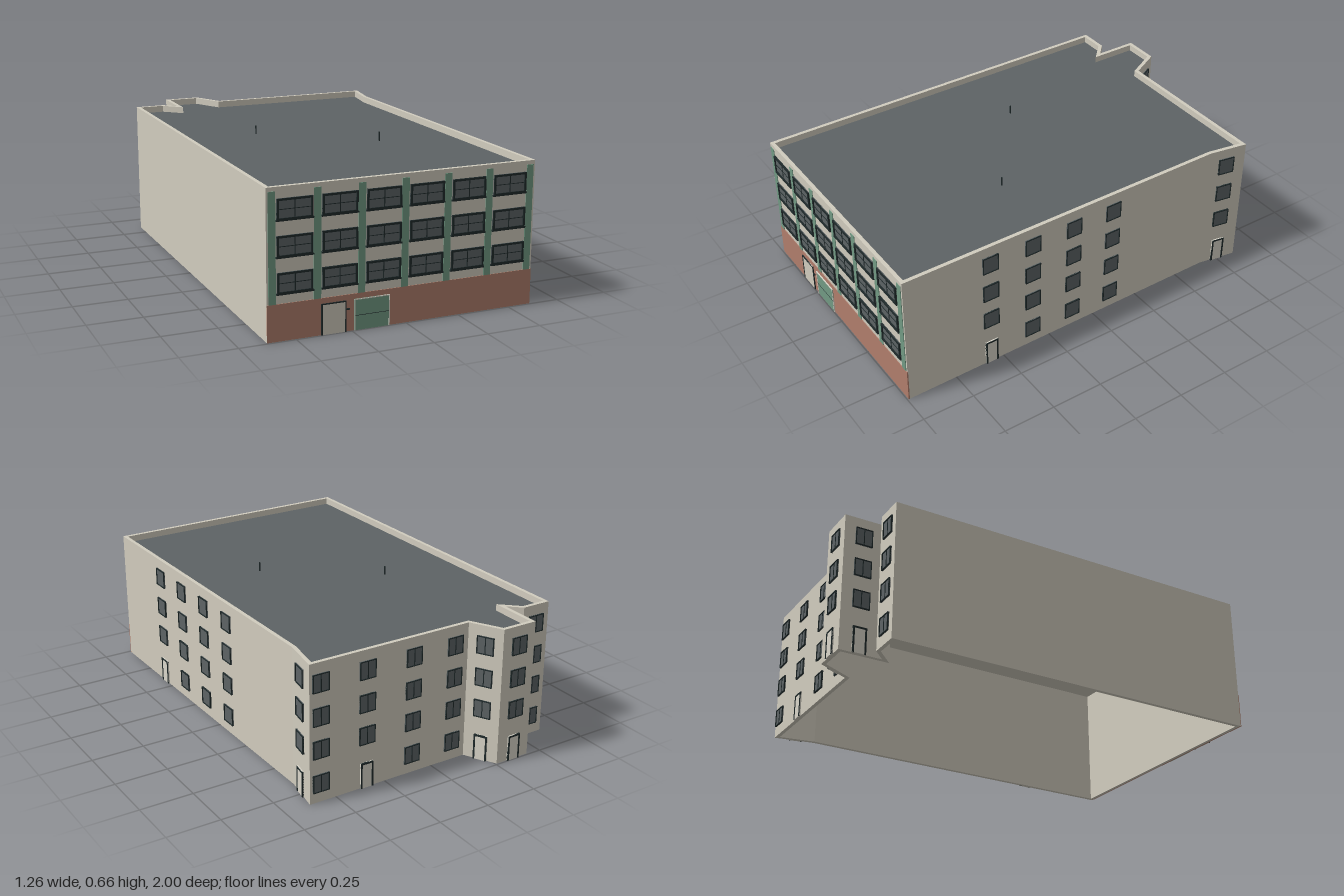
import * as THREE from 'three';

const mat = (name, color) => {
  const m = new THREE.MeshStandardMaterial({ color });
  m.name = name;
  return m;
};

export function createModel() {
  const plaster = mat('plaster', 0xd1ccbe);
  const brick = mat('brick', 0xb07e6c);
  const green = mat('green paint', 0x729a84);
  const slate = mat('slate', 0x5d6365);
  const dark = mat('dark frame', 0x1f2a2b);
  const trim = mat('light trim', 0xdad6ca);

  const model = new THREE.Group();
  model.name = 'building';
  const H = 0.648, ROOF = 0.617, T = 0.018;

  const box = (parent, name, m, w, h, d, x, y, z) => {
    const b = new THREE.Mesh(new THREE.BoxGeometry(w, h, d), m);
    b.name = name;
    b.position.set(x, y, z);
    parent.add(b);
  };

  // Footprint as (x, z), running from the front left corner round the right side
  const plan = [
    [-0.626, 0.991], [0.611, 0.991], [0.597, -0.66], [0.629, -0.847], [-0.18, -0.847],
    [-0.257, -0.992], [-0.43, -0.992], [-0.43, -0.79], [-0.49, -0.847], [-0.632, -0.847],
  ].map(p => new THREE.Vector2(...p));
  const N = plan.length;
  const normal = i => {
    const d = plan[(i + 1) % N].clone().sub(plan[i % N]).normalize();
    return new THREE.Vector2(-d.y, d.x);
  };
  const inner = plan.map((p, i) => {
    const a = normal(i + N - 1), b = normal(i);
    return p.clone().addScaledVector(a.clone().add(b), -T / (1 + a.dot(b)));
  });

  // Prism from a plan shape, between two heights
  const slab = (name, m, shape, y0, y1) => {
    const g = new THREE.ExtrudeGeometry(shape, { depth: y1 - y0, bevelEnabled: false });
    g.rotateX(Math.PI / 2).translate(0, y1, 0);
    const s = new THREE.Mesh(g, m);
    s.name = name;
    model.add(s);
  };

  // Hollow walls with a parapet (the hole winds opposite to the outline), roof deck and ceiling
  const ring = new THREE.Shape([...plan].reverse());
  ring.holes.push(new THREE.Path(inner));
  slab('walls', plaster, ring, 0, H);
  slab('roofDeck', slate, new THREE.Shape(inner), ROOF - 0.006, ROOF);
  slab('ceiling', plaster, new THREE.Shape(inner), ROOF - 0.012, ROOF - 0.006);

  // Roof vents
  for (const [x, z] of [[-0.25, -0.11], [0.229, 0.255]]) {
    const v = new THREE.Mesh(new THREE.CylinderGeometry(0.0035, 0.0035, 0.043, 8), dark);
    v.name = 'roofVent';
    v.position.set(x, ROOF + 0.021, z);
    model.add(v);
  }

  // Group lying on wall i where the chosen coordinate has the given value
  const onWall = (name, i, axis, value, y) => {
    const a = plan[i], b = plan[(i + 1) % N], n = normal(i);
    const p = a.clone().lerp(b, (value - a[axis]) / (b[axis] - a[axis]));
    const g = new THREE.Group();
    g.name = name;
    g.position.set(p.x, y, p.y);
    g.rotation.y = Math.atan2(n.x, n.y);
    model.add(g);
    return g;
  };

  // Framed window centred on its group
  const fillWindow = (g, w, h, f, depth, cross, mullion) => {
    box(g, 'glass', slate, w, h, 0.004, 0, 0, 0.002);
    for (const s of [-1, 1]) {
      box(g, 'frameSide', dark, f, h, depth, s * (w - f) / 2, 0, depth / 2);
      box(g, 'frameRail', dark, w, f, depth, 0, s * (h - f) / 2, depth / 2);
    }
    if (mullion) box(g, 'mullion', dark, 0.004, h, 0.006, 0, 0, 0.003);
    if (cross) {
      box(g, 'crossbar', dark, w, 0.003, 0.006, 0, 0, 0.003);
      box(g, 'sill', dark, w + 0.006, 0.007, depth, 0, -h / 2, depth / 2);
    }
  };

  // Framed door standing on its group's origin
  const fillDoor = (g, w, h, panel, frame, f) => {
    box(g, 'doorPanel', panel, w, h, 0.006, 0, h / 2, 0.003);
    for (const s of [-1, 1]) box(g, 'doorJamb', frame, f, h, 0.008, s * (w - f) / 2, h / 2, 0.004);
    box(g, 'doorHead', frame, w, f, 0.008, 0, h - f / 2, 0.004);
  };

  // Front: brick base, pilasters and wide windows
  box(model, 'brickBase', brick, 1.237, 0.16, 0.006, -0.0075, 0.08, 0.991);
  const step = 0.1981, first = -0.602;
  for (let i = 0; i < 7; i++)
    box(model, 'pilaster', green, 0.032, 0.47, 0.006, first + i * step, 0.395, 0.991);
  for (let i = 0; i < 6; i++)
    for (const y of [0.555, 0.401, 0.247])
      fillWindow(onWall('frontWindow', 0, 'x', first + (i + 0.5) * step, y), 0.158, 0.09, 0.009, 0.009, true, true);

  // Front doors and lamp
  fillDoor(onWall('frontDoor', 0, 'x', -0.332, 0), 0.112, 0.136, plaster, dark, 0.005);
  const gate = onWall('garageDoor', 0, 'x', -0.158, 0);
  fillDoor(gate, 0.163, 0.137, green, trim, 0.004);
  box(gate, 'gateSeam', dark, 0.154, 0.002, 0.007, 0, 0.065, 0.0035);
  box(model, 'lamp', dark, 0.014, 0.006, 0.009, -0.268, 0.098, 0.9955);

  // Columns of openings on the right, rear and bay walls: [wall, axis, value, door at ground]
  const columns = [
    [1, 'y', 0.563, true], [1, 'y', 0.343], [1, 'y', 0.123], [1, 'y', -0.094],
    [2, 'y', -0.748, true],
    [3, 'x', 0.575], [3, 'x', 0.345, true], [3, 'x', 0.108], [3, 'x', -0.11],
    [4, 'y', -0.92, true], [5, 'x', -0.345, true], [6, 'y', -0.9, true],
    [8, 'x', -0.562],
  ];
  for (const [wall, axis, value, door] of columns) {
    for (const y of [0.557, 0.404, 0.252, 0.092]) {
      if (door && y < 0.1) fillDoor(onWall('sideDoor', wall, axis, value, 0), 0.064, 0.122, trim, dark, 0.008);
      else fillWindow(onWall('sideWindow', wall, axis, value, y), 0.08, 0.084, 0.004, 0.008, false, wall > 2);
    }
  }
  return model;
}
